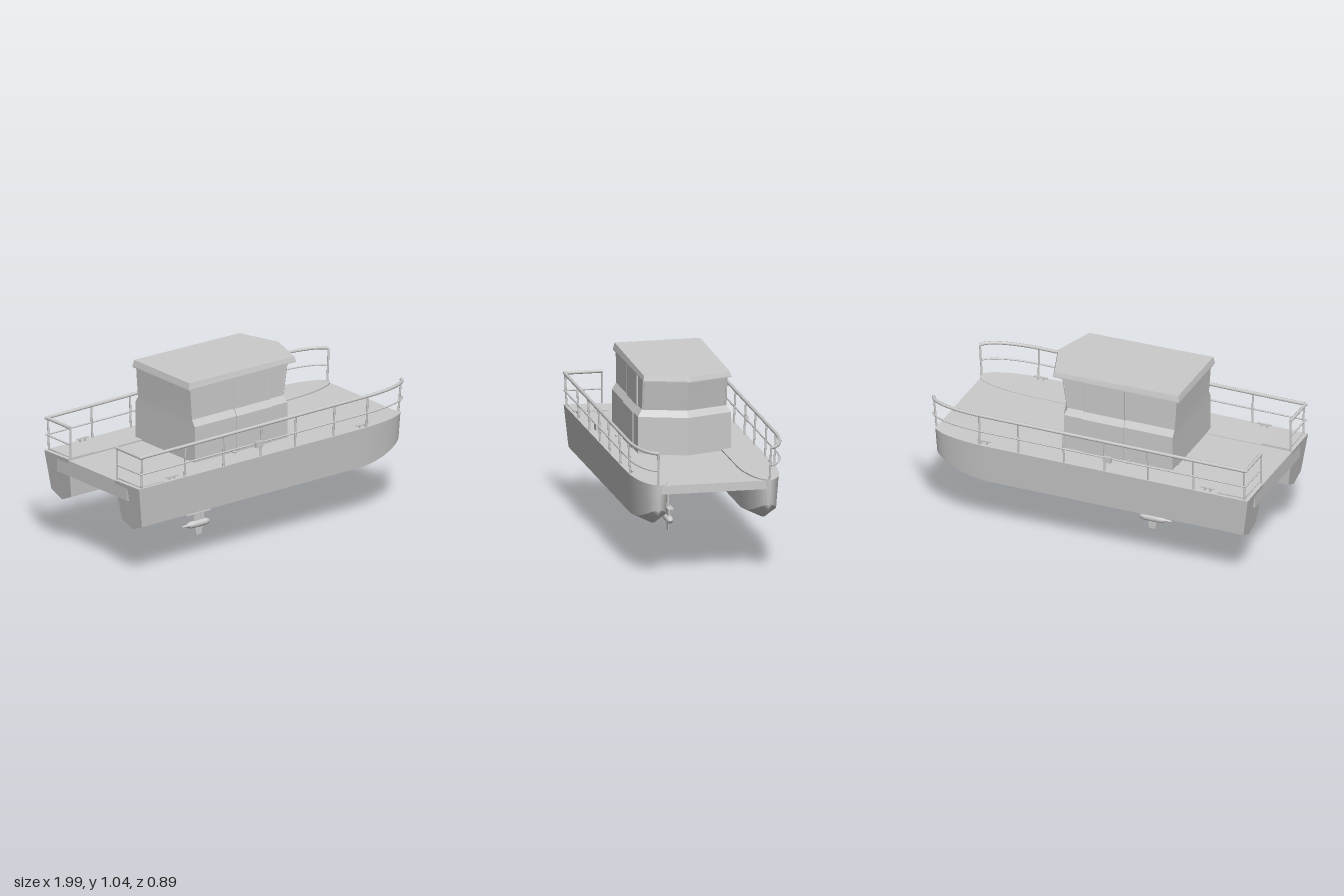
import * as THREE from 'three';
import { toCreasedNormals } from 'three/addons/utils/BufferGeometryUtils.js';

const grey = new THREE.MeshStandardMaterial({ color: 0xcccccc });
const V = (x, y, z) => new THREE.Vector3(x, y, z);

function add(parent, name, geometry, x = 0, y = 0, z = 0) {
  const m = new THREE.Mesh(geometry, grey);
  m.name = name;
  m.position.set(x, y, z);
  parent.add(m);
  return m;
}

// Closed solid through rings of points, with flat end caps
function loft(rings, crease = 0.5) {
  const pos = [];
  const tri = (...p) => p.forEach(v => pos.push(v.x, v.y, v.z));
  const n = rings[0].length;
  for (let i = 0; i < rings.length - 1; i++) {
    for (let j = 0; j < n; j++) {
      const k = (j + 1) % n, a = rings[i], b = rings[i + 1];
      tri(a[j], a[k], b[k]);
      tri(a[j], b[k], b[j]);
    }
  }
  const first = rings[0], last = rings[rings.length - 1];
  for (let j = 1; j < n - 1; j++) {
    tri(first[0], first[j + 1], first[j]);
    tri(last[0], last[j], last[j + 1]);
  }
  const g = new THREE.BufferGeometry();
  g.setAttribute('position', new THREE.Float32BufferAttribute(pos, 3));
  return toCreasedNormals(g, crease);
}

// Round bar between two points
function bar(parent, name, a, b, r) {
  const d = b.clone().sub(a), c = a.clone().add(b).multiplyScalar(0.5);
  const m = add(parent, name, new THREE.CylinderGeometry(r, r, d.length(), 8), c.x, c.y, c.z);
  m.quaternion.setFromUnitVectors(V(0, 1, 0), d.normalize());
  return m;
}

// Hull with flared sides, a hard chine, a V bottom and a rounded bow
function hullGeometry() {
  const rings = [];
  const section = (x, t, rake) => {
    const s = Math.sqrt(Math.max(0, 1 - t * t));
    const top = Math.max(0.11 * s, 0.002), chine = Math.max(0.09 * s, 0.001);
    const yc = 0.325 + 0.09 * t * t, yk = 0.415 - 0.13 * s;
    const p = (y, z) => V(x + rake * (0.565 - y) / 0.28 - 0.012 * t ** 4 * (0.565 - y) / 0.15, y, z);
    rings.push([p(0.565, top), p(yc, chine), p(yk, 0), p(yc, -chine), p(0.56, -top)]);
  };
  section(-1, 0, 0.042);
  section(-0.8, 0, 0);
  for (let i = 0; i <= 16; i++) {
    const t = Math.sin(i / 16 * Math.PI / 2);
    section(0.6 + 0.375 * t, t, 0);
  }
  return loft(rings, 0.4);
}

// Five-sided plan with a pointed front
const plan = (y, back, corner, point, w, yFront = y) => [
  V(back, y, w), V(corner, yFront, w), V(point, yFront, 0), V(corner, yFront, -w), V(back, y, -w)];

// Points of the side rail seen from above, following the deck edge
function railPath(y, side) {
  const pts = [];
  for (let i = 0; i <= 12; i++) {
    const a = i / 12 * 1.5;
    pts.push(V(0.65 + 0.335 * Math.sin(a), y, side * (0.32 + 0.108 * Math.cos(a))));
  }
  return pts;
}

function buildRailing(side) {
  const g = new THREE.Group();
  g.name = side > 0 ? 'railingNear' : 'railingFar';
  const z = side * 0.428;
  for (const [y, r] of [[0.752, 0.01], [0.65, 0.005]]) {
    const name = y > 0.7 ? 'topRail' : 'middleRail';
    const curve = new THREE.CatmullRomCurve3(railPath(y, side));
    bar(g, name, V(-0.99, y, z), V(0.65, y, z), r);
    add(g, name + 'Bow', new THREE.TubeGeometry(curve, 24, r, 8));
    bar(g, name + 'Stern', V(-0.985, y, z), V(-0.985, y, side * 0.21), r);
    add(g, name + 'Corner', new THREE.SphereGeometry(r, 8, 6), -0.988, y, z);
  }
  for (const x of [-0.975, -0.66, -0.38, -0.11, 0.14, 0.42, 0.66])
    bar(g, 'railPost', V(x, 0.555, side * 0.418), V(x, 0.752, z), 0.006);
  bar(g, 'bowPost', V(0.968, 0.555, side * 0.322), V(0.982, 0.752, side * 0.328), 0.006);
  bar(g, 'sternPost', V(-0.985, 0.555, side * 0.21), V(-0.985, 0.752, side * 0.21), 0.006);
  add(g, 'railClamp', new THREE.BoxGeometry(0.05, 0.035, 0.016), -0.135, 0.645, side * 0.436);
  return g;
}

function buildCabin() {
  const g = new THREE.Group();
  g.name = 'cabin';
  add(g, 'cabinBody', loft([
    plan(0.55, -0.465, 0.205, 0.295, 0.27), plan(0.775, -0.467, 0.205, 0.295, 0.27),
    plan(0.812, -0.468, 0.19, 0.268, 0.245), plan(1.005, -0.482, 0.222, 0.305, 0.245)], 0.1));
  add(g, 'roof', loft([
    plan(0.997, -0.5, 0.277, 0.362, 0.256), plan(1.003, -0.5, 0.277, 0.362, 0.256),
    plan(1.04, -0.492, 0.272, 0.355, 0.249, 1.028)], 0.1));
  for (const s of [1, -1]) {
    // Sliding door leaf, stepping in above the waist like the cabin wall
    const wall = (y, z) => [V(-0.165, y, z + 0.005), V(0.085, y, z + 0.005),
      V(0.085, y, z - 0.005), V(-0.165, y, z - 0.005)];
    const door = add(g, 'sideDoor', loft([
      wall(0.56, 0.271), wall(0.775, 0.271), wall(0.812, 0.246), wall(0.995, 0.246)], 0.1));
    door.rotation.y = s > 0 ? 0 : Math.PI;
    if (s < 0) door.position.x = -0.08;
    for (const x of [-0.165, 0.085])
      bar(g, 'windowPost', V(x, 0.81, s * 0.247), V(x, 1.0, s * 0.247), 0.007);
    bar(g, 'frontWindowPost', V(0.193, 0.815, s * 0.241), V(0.222, 1.0, s * 0.241), 0.006);
    bar(g, 'deckStep', V(-0.2, 0.572, s * 0.255), V(-0.2, 0.572, s * 0.31), 0.006);
  }
  return g;
}

// Steerable pod drive below the deck
function buildDrive() {
  const g = new THREE.Group();
  g.name = 'drive';
  const x = -0.215;
  add(g, 'mountPlate', new THREE.BoxGeometry(0.012, 0.125, 0.43), x - 0.04, 0.423, 0);
  bar(g, 'driveShaft', V(x, 0.1, 0), V(x, 0.47, 0), 0.007);
  add(g, 'shaftSleeve', new THREE.CylinderGeometry(0.014, 0.014, 0.1, 12), x, 0.33, 0);
  add(g, 'motorBase', new THREE.CylinderGeometry(0.06, 0.05, 0.025, 16), x + 0.02, 0.385, 0);
  for (const y of [0.4, 0.43])
    bar(g, 'motorCylinder', V(x + 0.02, y, -0.075), V(x + 0.02, y, 0.075), 0.016);
  add(g, 'motorHead', new THREE.CylinderGeometry(0.022, 0.03, 0.07, 12), x + 0.02, 0.43, 0);
  for (const s of [1, -1]) {
    add(g, 'mountFoot', new THREE.CylinderGeometry(0.009, 0.02, 0.045, 10), x, 0.39, s * 0.193);
    const blade = add(g, 'smallBlade', new THREE.SphereGeometry(0.02, 10, 8), x + 0.015, 0.34, s * 0.032);
    blade.scale.set(0.3, 1, 0.8);
    blade.rotation.x = s * 0.5;
  }
  add(g, 'wearPlate', new THREE.BoxGeometry(0.175, 0.005, 0.035), x - 0.02, 0.135, 0);
  add(g, 'podNeck', new THREE.BoxGeometry(0.07, 0.06, 0.01), x - 0.01, 0.107, 0);
  const profile = [[0, -0.345], [0.006, -0.34], [0.007, -0.31], [0.018, -0.29], [0.021, -0.25],
    [0.021, -0.18], [0.015, -0.155], [0, -0.143]].map(p => new THREE.Vector2(...p));
  add(g, 'pod', new THREE.LatheGeometry(profile, 16), 0, 0.067, 0).rotation.z = -Math.PI / 2;
  const fin = new THREE.Shape([[-0.255, 0.06], [-0.245, 0], [-0.205, 0], [-0.195, 0.06]]
    .map(p => new THREE.Vector2(...p)));
  add(g, 'podFin', new THREE.ExtrudeGeometry(fin, { depth: 0.006, bevelEnabled: false }), 0, 0, -0.003);
  return g;
}

export function createModel() {
  const boat = new THREE.Group();
  boat.name = 'catamaran';

  // Deck bridging the hulls, its underside falling gently aft
  const deck = new THREE.Shape([[-0.996, 0.465], [0.968, 0.507], [0.968, 0.557], [-0.996, 0.557]]
    .map(p => new THREE.Vector2(...p)));
  add(boat, 'deck', new THREE.ExtrudeGeometry(deck, { depth: 0.64, bevelEnabled: false }), 0, 0, -0.32);

  const hull = hullGeometry();
  for (const s of [1, -1]) {
    const h = add(boat, 'hull', hull, 0, 0, s * 0.32);
    h.rotation.y = 0;
    boat.add(buildRailing(s));
    add(boat, 'sternHatch', new THREE.BoxGeometry(0.17, 0.014, 0.2), -0.89, 0.562, s * 0.312);
    // Mooring cleats
    for (const x of [-0.74, 0.64]) {
      add(boat, 'cleatBar', new THREE.BoxGeometry(0.085, 0.007, 0.012), x, 0.58, s * 0.405);
      for (const d of [-0.017, 0.017])
        add(boat, 'cleatFoot', new THREE.BoxGeometry(0.01, 0.02, 0.01), x + d, 0.568, s * 0.405);
    }
  }
  boat.add(buildCabin(), buildDrive());
  return boat;
}
